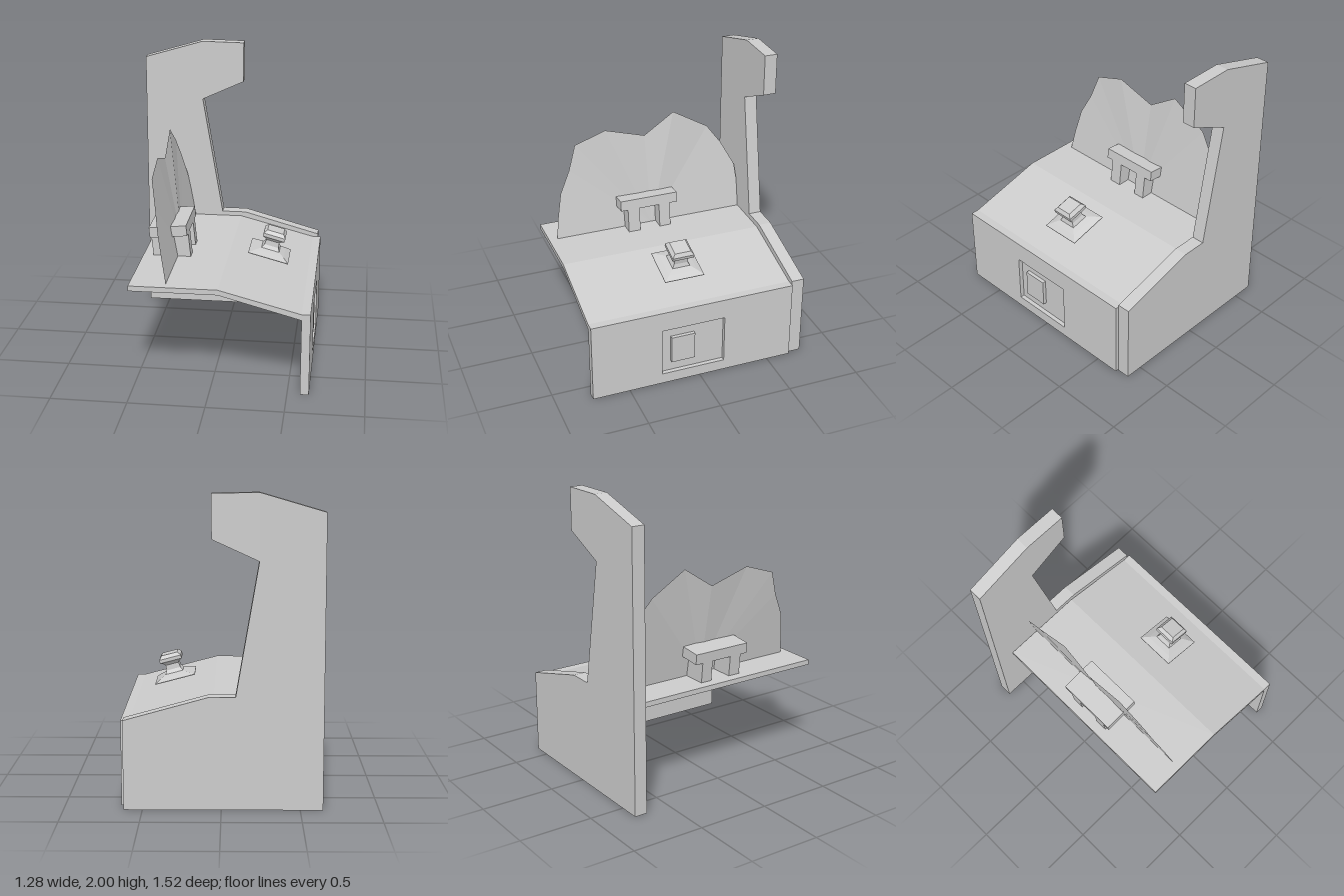
import * as THREE from 'three';

const mat = new THREE.MeshStandardMaterial({ color: 0xcccccc, flatShading: true });
const thinMat = new THREE.MeshStandardMaterial({ color: 0xcccccc, flatShading: true, side: THREE.DoubleSide });

const toShape = (pts) => new THREE.Shape(pts.map(([x, y]) => new THREE.Vector2(x, y)));

function add(parent, name, geometry, material = mat) {
  const mesh = new THREE.Mesh(geometry, material);
  mesh.name = name;
  parent.add(mesh);
  return mesh;
}

// Extrudes an x-y outline from z0 to z1
function prism(parent, name, pts, z0, z1) {
  const geo = new THREE.ExtrudeGeometry(toShape(pts), { depth: z1 - z0, bevelEnabled: false });
  return add(parent, name, geo.translate(0, 0, z0));
}

function box(parent, name, [x0, x1], [y0, y1], [z0, z1]) {
  const mesh = add(parent, name, new THREE.BoxGeometry(x1 - x0, y1 - y0, z1 - z0));
  mesh.position.set((x0 + x1) / 2, (y0 + y1) / 2, (z0 + z1) / 2);
  return mesh;
}

const rect = (x0, x1, y0, y1) => [[x0, y0], [x1, y0], [x1, y1], [x0, y1]];

export function createModel() {
  const model = new THREE.Group();
  model.name = 'arcadeCabinet';

  // Tall side panel
  prism(model, 'sidePanel', [
    [-0.645, 0], [0.62, 0], [0.62, 0.58], [0.08, 0.73], [-0.09, 0.73],
    [-0.235, 1.58], [0.06, 1.715], [0.06, 1.995], [-0.235, 2], [-0.645, 1.88],
  ], -0.76, -0.672);

  // Bent control deck
  prism(model, 'controlDeck', [
    [-0.525, 0.665], [0.05, 0.665], [0.583, 0.52], [0.583, 0.56], [0.05, 0.7], [-0.525, 0.7],
  ], -0.668, 0.757);

  // Front panel with a recessed door and a raised plate inside it
  const front = new THREE.Group();
  front.name = 'frontPanel';
  model.add(front);
  const face = toShape(rect(-0.757, 0.668, 0, 0.56));
  face.holes.push(toShape(rect(-0.27, 0.175, 0.075, 0.42)));
  const faceMesh = add(front, 'panelFace', new THREE.ExtrudeGeometry(face, { depth: 0.03, bevelEnabled: false }));
  faceMesh.rotation.y = Math.PI / 2;
  faceMesh.position.x = 0.61;
  box(front, 'panelBack', [0.583, 0.61], [0, 0.56], [-0.668, 0.757]);
  box(front, 'doorPlate', [0.605, 0.635], [0.15, 0.345], [0.035, 0.2]);

  // Jagged screen: a fan from the base, leaning back and upright above the bend
  const rim = [
    [0.7, 0.69], [0.68, 0.84], [0.645, 1.015], [0.57, 1.17], [0.515, 1.34], [0.295, 1.415], [0.01, 1.33],
    [-0.205, 1.475], [-0.46, 1.325], [-0.56, 1.19], [-0.655, 1.015], [-0.668, 0.9], [-0.668, 0.69],
  ];
  const lean = (z, y) => [Math.max(-0.4, -0.29 - (0.11 * (y - 0.7)) / 0.62), y, z];
  const fan = [];
  for (let i = 0; i < rim.length - 1; i++) {
    fan.push(...lean(0, 0.69), ...lean(...rim[i + 1]), ...lean(...rim[i]));
  }
  const screenGeo = new THREE.BufferGeometry();
  screenGeo.setAttribute('position', new THREE.Float32BufferAttribute(fan, 3));
  screenGeo.computeVertexNormals();
  add(model, 'brokenScreen', screenGeo, thinMat);

  // Tilted bracket: a slab on two deep legs
  const bracket = new THREE.Group();
  bracket.name = 'bracket';
  model.add(bracket);
  prism(bracket, 'bracketTop', [[-0.47, 0.84], [-0.218, 0.865], [-0.225, 0.937], [-0.477, 0.912]], -0.165, 0.25);
  for (const [z0, z1] of [[-0.11, -0.03], [0.115, 0.2]]) {
    prism(bracket, 'bracketLeg', [[-0.452, 0.66], [-0.2, 0.685], [-0.218, 0.865], [-0.47, 0.84]], z0, z1);
  }

  // Square joystick: skirt, waisted stem and chamfered knob, square to the deck slope
  const profile = [
    [0, 0], [0.139, 0], [0.139, 0.004], [0.1, 0.022], [0.062, 0.036], [0.049, 0.06],
    [0.046, 0.095], [0.056, 0.108], [0.076, 0.122], [0.076, 0.145], [0.056, 0.168], [0, 0.168],
  ].map(([half, y]) => new THREE.Vector2(half * Math.SQRT2, y));
  const stick = add(model, 'joystick', new THREE.LatheGeometry(profile, 4, Math.PI / 4));
  stick.position.set(0.32, 0.7, 0.04);
  stick.rotation.z = -0.26;

  return model;
}
